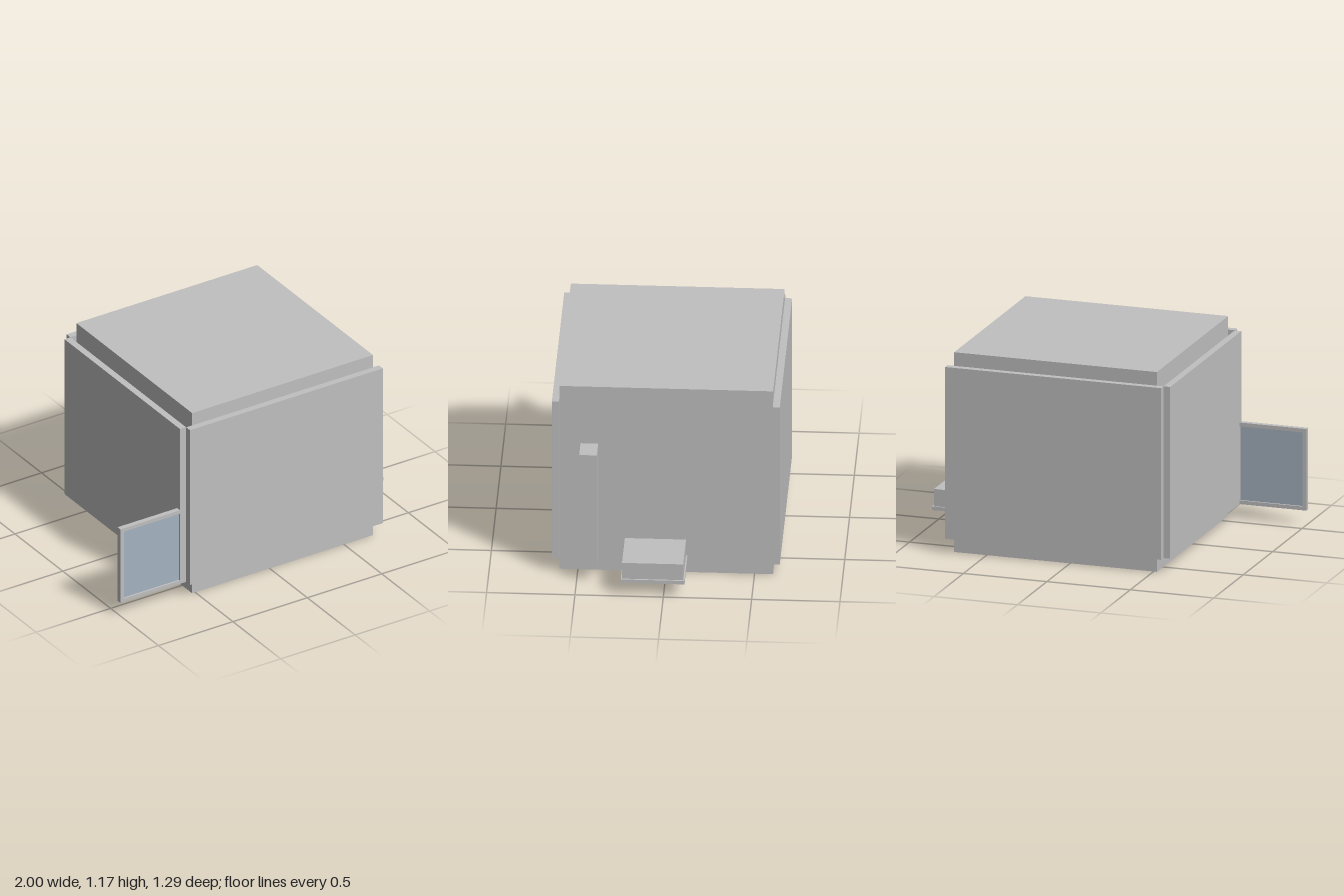
import * as THREE from 'three';

export function createModel() {
  const group = new THREE.Group();
  const grey = new THREE.MeshStandardMaterial({ color: 0xc0c0c0 });
  grey.name = 'light grey';
  const blue = new THREE.MeshStandardMaterial({ color: 0xa5b3c0 });
  blue.name = 'glass blue';

  // Box given by its min and max on each axis
  function box(name, [x0, x1], [y0, y1], [z0, z1], material = grey, parent = group) {
    const mesh = new THREE.Mesh(new THREE.BoxGeometry(x1 - x0, y1 - y0, z1 - z0), material);
    mesh.position.set((x0 + x1) / 2, (y0 + y1) / 2, (z0 + z1) / 2);
    mesh.name = name;
    parent.add(mesh);
    return mesh;
  }

  // Main block
  box('body', [-0.52, 0.695], [0, 1.175], [-0.605, 0.605]);

  // Outer panels
  const panelY = [0.085, 1.095];
  box('frontPanel', [-0.56, 0.735], panelY, [0.605, 0.645]);
  box('backPanel', [-0.56, 0.735], panelY, [-0.645, -0.605]);
  box('sidePanel', [-0.6, -0.56], panelY, [-0.605, 0.602]);

  // Framed window standing out from the side
  const frame = new THREE.Shape();
  frame.moveTo(-1, 0.085).lineTo(-0.52, 0.085).lineTo(-0.52, 0.565).lineTo(-1, 0.565).closePath();
  const opening = new THREE.Path();
  opening.moveTo(-0.977, 0.107).lineTo(-0.977, 0.543).lineTo(-0.543, 0.543).lineTo(-0.543, 0.107).closePath();
  frame.holes.push(opening);
  const frameMesh = new THREE.Mesh(
    new THREE.ExtrudeGeometry(frame, { depth: 0.03, bevelEnabled: false }), grey);
  frameMesh.position.z = 0.573;
  frameMesh.name = 'windowFrame';
  group.add(frameMesh);
  box('windowGlass', [-0.977, -0.543], [0.107, 0.543], [0.584, 0.592], blue);

  // Narrow shelf rack, open to the front
  const rack = new THREE.Group();
  rack.name = 'shelfRack';
  group.add(rack);
  box('rackBack', [0.695, 0.835], [0.085, 0.81], [0.385, 0.391], grey, rack);
  box('rackSide', [0.829, 0.835], [0.085, 0.81], [0.391, 0.485], grey, rack);
  for (let i = 0; i < 7; i++) {
    const y = 0.085 + i * 0.1197;
    box('rackShelf', [0.695, 0.829], [y, y + 0.007], [0.391, 0.485], grey, rack);
  }

  // Low bin on a base plate
  box('binBase', [0.695, 1], [0.085, 0.107], [-0.12, 0.241]);
  box('bin', [0.695, 0.99], [0.107, 0.208], [-0.112, 0.234]);

  return group;
}
